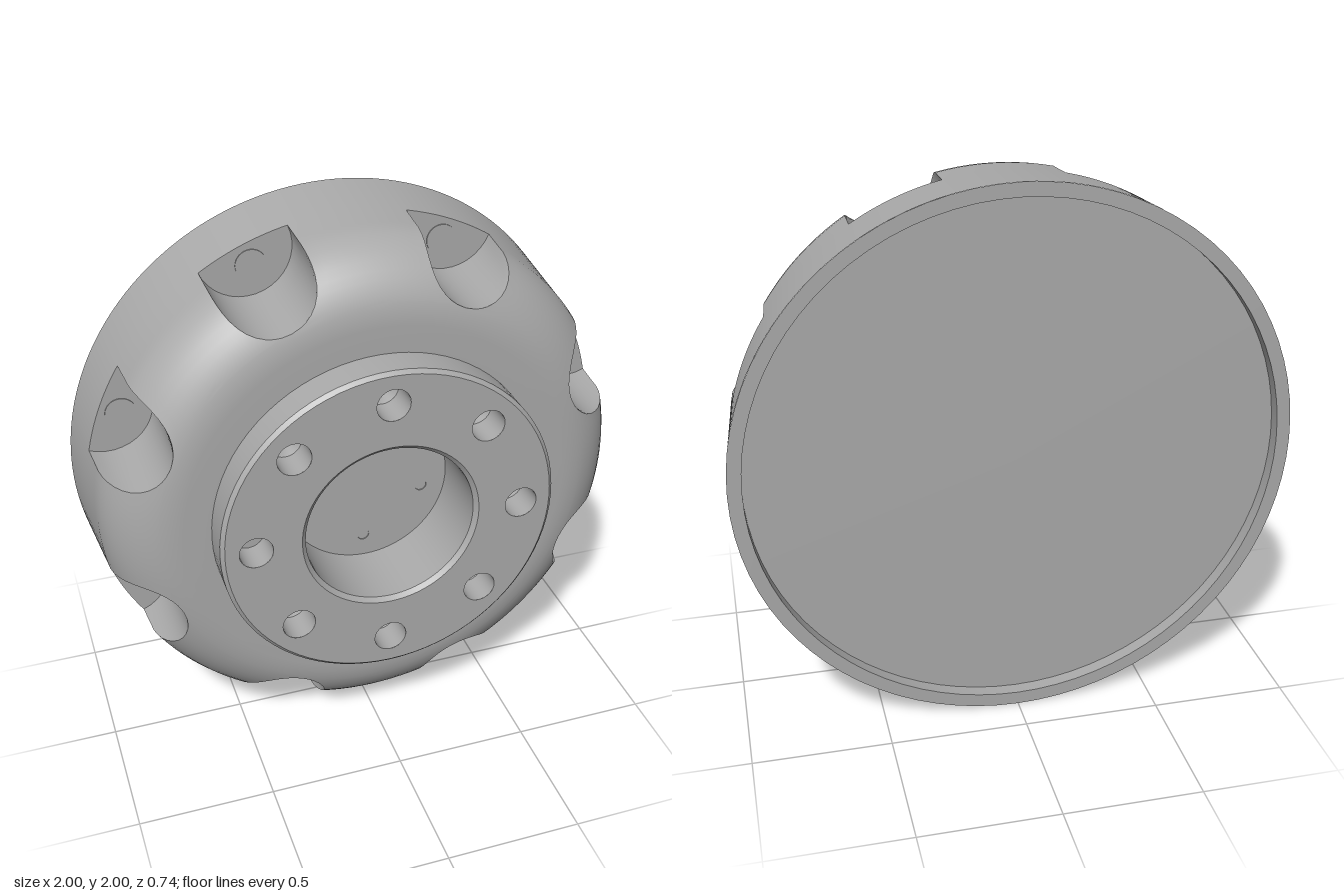
import * as THREE from 'three';
import { toCreasedNormals } from 'three/addons/utils/BufferGeometryUtils.js';

const SECTORS = 8, STEP = Math.PI / 4;
const CUT_DIST = 0.96, CUT_R = 0.17, CUT_Z = -0.12; // scalloped pockets around the shoulder
const HUB_Z = 0.37, FLOOR_Z = 0.085;
const NOTCH = 18, ARC = 10;

// Half angle of a pocket mouth on a circle of radius R
const mouth = R => Math.acos(Math.min(1, (R * R + CUT_DIST ** 2 - CUT_R ** 2) / (2 * R * CUT_DIST)));

// Closed outline of the body at one depth, with or without the pockets
function outline(R, z, notched) {
  const pts = [], a = mouth(R);
  const beta = Math.atan2(R * Math.sin(a), CUT_DIST - R * Math.cos(a));
  for (let k = 0; k < SECTORS; k++) {
    const mid = (k + 0.5) * STEP;
    const put = (x, y) => pts.push(new THREE.Vector3(
      x * Math.cos(mid) - y * Math.sin(mid), x * Math.sin(mid) + y * Math.cos(mid), z));
    for (let i = 0; i <= NOTCH; i++) {
      const t = (2 * i) / NOTCH - 1;
      if (notched && a > 0) put(CUT_DIST - CUT_R * Math.cos(beta * t), CUT_R * Math.sin(beta * t));
      else put(R * Math.cos(a * t), R * Math.sin(a * t));
    }
    for (let i = 1; i < ARC; i++) {
      const t = a + ((STEP - 2 * a) * i) / ARC;
      put(R * Math.cos(t), R * Math.sin(t));
    }
  }
  return pts;
}

// Skin through a list of outlines, leaving out collapsed triangles
function loft(rings) {
  const pos = [], n = rings[0].length, e1 = new THREE.Vector3(), e2 = new THREE.Vector3();
  const tri = (a, b, c) => {
    e1.subVectors(b, a).cross(e2.subVectors(c, a));
    if (e1.length() > 1e-9) for (const p of [a, b, c]) pos.push(p.x, p.y, p.z);
  };
  for (let j = 0; j + 1 < rings.length; j++) {
    for (let i = 0; i < n; i++) {
      const k = (i + 1) % n, A = rings[j], B = rings[j + 1];
      tri(A[i], A[k], B[k]);
      tri(A[i], B[k], B[i]);
    }
  }
  const g = new THREE.BufferGeometry();
  g.setAttribute('position', new THREE.Float32BufferAttribute(pos, 3));
  return toCreasedNormals(g, 0.5);
}

// Turned surface around the z axis from [radius, z] pairs
function turned(profile, segments = 80) {
  const g = new THREE.LatheGeometry(profile.map(p => new THREE.Vector2(...p)), segments);
  g.rotateX(Math.PI / 2);
  return toCreasedNormals(g, 0.5);
}

export function createModel() {
  const model = new THREE.Group();
  const wheel = new THREE.Group();
  wheel.name = 'wheelHub';
  wheel.position.y = 1;
  model.add(wheel);
  const metal = new THREE.MeshStandardMaterial({ color: 0xaaaaaa });
  metal.name = 'grey metal';
  const add = (name, geometry, x = 0, y = 0, z = 0) => {
    const m = new THREE.Mesh(geometry, metal);
    m.name = name;
    m.position.set(x, y, z);
    wheel.add(m);
  };

  // Body: tapered wall, pocket floors, rounded shoulder, flat front
  const taper = z => 1 - (0.03 * (z + 0.37)) / 0.35;
  const rings = [outline(1, -0.37, false)];
  // keep the plain wall aligned with the pocket mouths
  const base = outline(taper(CUT_Z), CUT_Z, false);
  const s = 1 / taper(CUT_Z);
  rings[0] = base.map(p => new THREE.Vector3(p.x * s, p.y * s, -0.37));
  rings.push(base, outline(taper(CUT_Z), CUT_Z, true));
  const tip = THREE.MathUtils.radToDeg(Math.acos(0.08 / 0.26));
  for (const deg of [0, 8, 16, 24, 32, 40, 48, 55, 61, 66, 69, 71, tip, 76, 83, 90]) {
    const t = THREE.MathUtils.degToRad(deg);
    rings.push(outline(0.71 + 0.26 * Math.cos(t), -0.02 + 0.26 * Math.sin(t), true));
  }
  rings.push(outline(0.6, 0.24, true));
  add('body', loft(rings));

  // Back cover, set slightly inside the rim
  add('backCover', turned([[0, -0.32], [0.95, -0.32], [0.95, -0.37], [1, -0.37]]));

  // Raised hub with chamfered edge, and the central bore
  add('hubSide', turned([[0.612, 0.23], [0.612, 0.357], [0.598, HUB_Z]]));
  add('bore', turned([[0.326, HUB_Z], [0.31, 0.355], [0.31, FLOOR_Z], [0, FLOOR_Z]]));

  // Hub face pierced by the bore and a circle of bolt holes
  const face = new THREE.Shape().absarc(0, 0, 0.598, 0, Math.PI * 2);
  const pierce = (x, y, r) => face.holes.push(new THREE.Path().absarc(x, y, r, 0, Math.PI * 2, true));
  pierce(0, 0, 0.326);
  for (let k = 0; k < SECTORS; k++) {
    const x = 0.488 * Math.cos(k * STEP), y = 0.488 * Math.sin(k * STEP);
    pierce(x, y, 0.06);
    const bottom = k === 4 ? -0.12 : -0.15; // one hole is flat-bottomed
    add('boltHole', turned([[0.06, 0], [0.06, -0.12], [0, bottom]], 32), x, y, HUB_Z);
  }
  add('hubFace', new THREE.ShapeGeometry(face, 40), 0, 0, HUB_Z);

  // Thin plate on the bore floor, with two wavy corners and four pin holes
  const wave = [[-0.13, 0.235], [-0.13, 0.19], [-0.165, 0.14], [-0.22, 0.135], [-0.25, 0.1]]
    .map(p => new THREE.Vector2(...p));
  const a0 = Math.atan2(0.1, -0.25), a1 = Math.atan2(0.235, -0.13);
  const plate = new THREE.Shape();
  plate.moveTo(-0.13, 0.235);
  plate.splineThru(wave.slice(1));
  plate.absarc(0, 0, 0.27, a0, a1 + Math.PI, false);
  plate.splineThru(wave.map(p => p.clone().negate()));
  plate.absarc(0, 0, 0.27, a0 + Math.PI, a1 + Math.PI * 2, false);
  for (const [x, y] of [[-0.02, 0.217], [0.212, -0.043], [-0.212, 0.04], [-0.012, -0.217]]) {
    plate.holes.push(new THREE.Path().absarc(x, y, 0.022, 0, Math.PI * 2, true));
  }
  add('borePlate', new THREE.ExtrudeGeometry(plate,
    { depth: 0.004, bevelEnabled: false, curveSegments: 32 }), 0, 0, FLOOR_Z);

  // Round bolt heads lying on the pocket floors
  const bolt = new THREE.CylinderGeometry(0.055, 0.055, 0.004, 32).rotateX(Math.PI / 2);
  for (let k = 0; k < SECTORS; k++) {
    const t = (k + 0.5) * STEP;
    add('pocketBolt', bolt, 0.9 * Math.cos(t), 0.9 * Math.sin(t), CUT_Z + 0.002);
  }
  return model;
}
